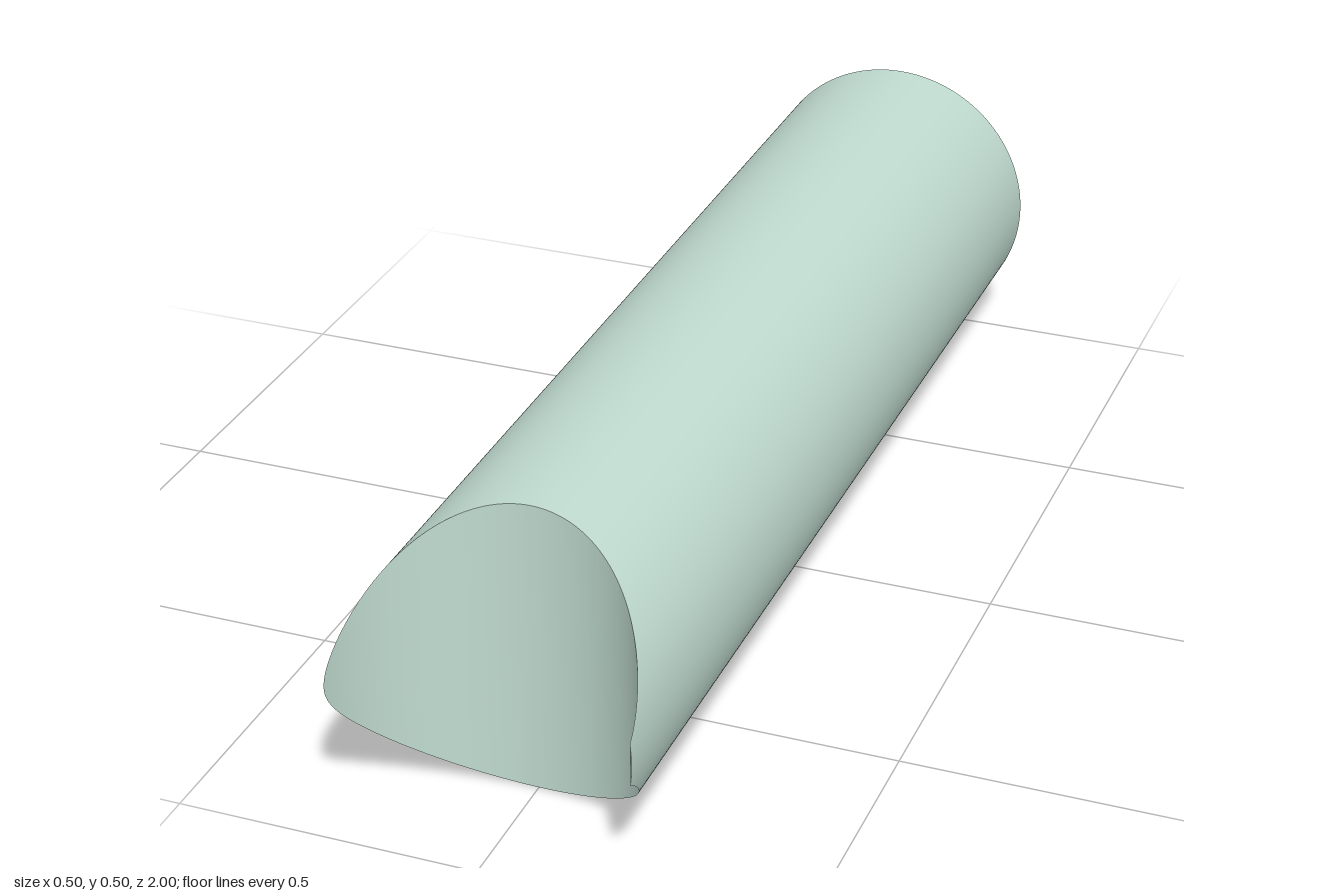
import * as THREE from 'three';
import { toCreasedNormals } from 'three/addons/utils/BufferGeometryUtils.js';

const R = 0.252;                                  // bar radius
const SEGMENTS = 256;
const NOTCH = { x: -0.003, z: 1.018, r: 0.253 };  // upright cylinder cut out of the front end

// Front end of the bar at a given x: the notch, limited by the flat end at z = 1
const frontZ = (x) => {
  const d = x - NOTCH.x;
  return Math.min(1, NOTCH.z - Math.sqrt(Math.max(0, NOTCH.r ** 2 - d * d)));
};

export function createModel() {
  const group = new THREE.Group();
  group.name = 'notchedBar';
  const material = new THREE.MeshStandardMaterial({ color: 0xc0dbd0 });
  const add = (name, geometry) => {
    const mesh = new THREE.Mesh(geometry, material);
    mesh.name = name;
    mesh.position.y = R;
    group.add(mesh);
  };

  // Round side wall, its front rim trimmed to the notch
  const wall = new THREE.CylinderGeometry(R, R, 2, SEGMENTS, 1, true).rotateX(Math.PI / 2);
  const w = wall.attributes.position;
  for (let i = 0; i < w.count; i++) {
    if (w.getZ(i) > 0) w.setZ(i, frontZ(w.getX(i)));
  }
  add('sideWall', wall);

  // Concave front face: upright strips spanning the bar's circular section
  const face = new THREE.PlaneGeometry(1, 2, SEGMENTS / 2, 1);
  const f = face.attributes.position;
  for (let i = 0; i < f.count; i++) {
    const t = Math.PI * (0.5 - f.getX(i));
    const x = R * Math.cos(t);
    f.setXYZ(i, x, f.getY(i) * R * Math.sin(t), frontZ(x));
  }
  add('notchFace', toCreasedNormals(face, 0.5));

  // Flat back end
  add('backCap', new THREE.CircleGeometry(R, SEGMENTS).rotateY(Math.PI).translate(0, 0, -1));

  return group;
}
